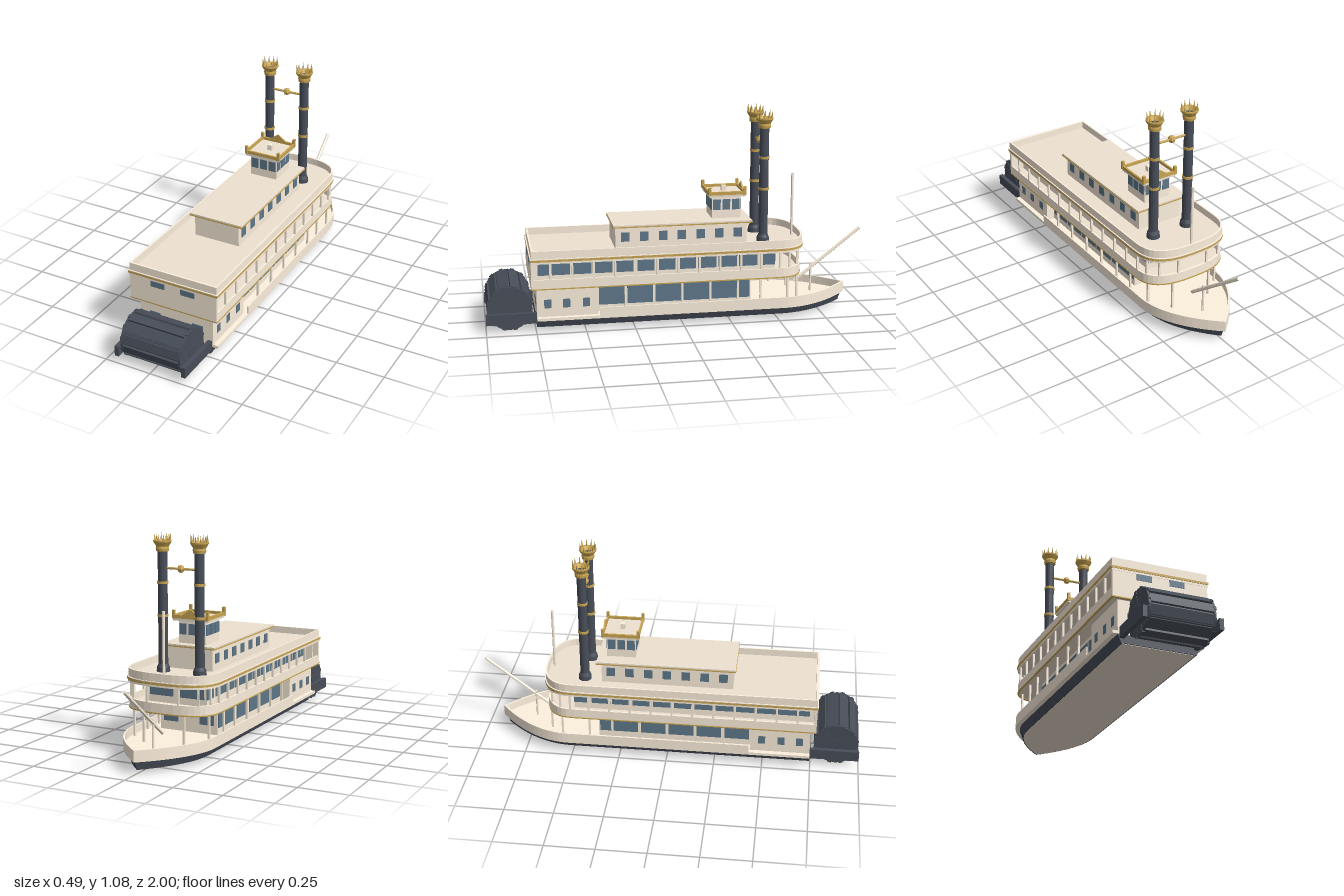
import * as THREE from 'three';

const mat = (color) => new THREE.MeshStandardMaterial({ color, flatShading: true });
const cream = mat(0xfdf0dd), deckTan = mat(0xeee2d1), dark = mat(0x484e59);
const glass = mat(0x5f788a), gold = mat(0xcaa653);

export function createModel() {
  const root = new THREE.Group();

  const add = (name, geo, m, x = 0, y = 0, z = 0, parent = root) => {
    const mesh = new THREE.Mesh(geo, m);
    mesh.name = name;
    mesh.position.set(x, y, z);
    parent.add(mesh);
    return mesh;
  };
  // box given by its limits on each axis
  const box = (name, m, x0, x1, y0, y1, z0, z1) =>
    add(name, new THREE.BoxGeometry(x1 - x0, y1 - y0, z1 - z0), m, (x0 + x1) / 2, (y0 + y1) / 2, (z0 + z1) / 2);
  // rod between two points
  const rod = (name, m, r, a, b) => {
    const p = new THREE.Vector3(...a), q = new THREE.Vector3(...b), d = q.clone().sub(p);
    const mesh = add(name, new THREE.CylinderGeometry(r, r, d.length(), 6), m);
    mesh.position.copy(p).add(q).multiplyScalar(0.5);
    mesh.quaternion.setFromUnitVectors(new THREE.Vector3(0, 1, 0), d.normalize());
  };

  // plan outlines as [x, forward] points, from the stern on the +x side round the bow
  const mirrored = (half) => [...half, ...half.slice(0, -1).reverse().map(([x, f]) => [-x, f])];
  const hullPlan = (w, aft, tip) => {
    const half = [[w, aft]];
    for (let i = 0; i <= 14; i++) {
      const t = i / 14;
      half.push([w * (1 - t * t), 0.52 + t * (tip - 0.52)]);
    }
    return mirrored(half);
  };
  const deckPlan = (w, aft, tip) => {
    const half = [[w, aft]];
    for (let i = 0; i <= 10; i++) {
      const a = (i / 10) * Math.PI / 2, e = 2 / 2.7;
      half.push([w * Math.pow(Math.max(0, Math.cos(a)), e), 0.48 + (tip - 0.48) * Math.pow(Math.sin(a), e)]);
    }
    half[half.length - 1][0] = 0;
    return mirrored(half);
  };
  const toVec = (pts) => pts.map(([x, f]) => new THREE.Vector2(x, f));
  const slab = (name, m, pts, y0, y1, hole) => {
    const shape = new THREE.Shape(toVec(pts));
    if (hole) shape.holes.push(new THREE.Path(toVec(hole)));
    const geo = new THREE.ExtrudeGeometry(shape, { depth: y1 - y0, bevelEnabled: false });
    geo.rotateX(-Math.PI / 2);
    return add(name, geo, m, 0, y0, 0);
  };

  // hull: dark flared body with a tan bottom
  const hull = slab('hull', dark, hullPlan(0.205, -0.745, 0.9), 0.022, 0.065);
  const hp = hull.geometry.attributes.position;
  for (let i = 0; i < hp.count; i++) {
    if (hp.getY(i) < 0.01) {
      hp.setX(i, hp.getX(i) * 0.92);
      if (hp.getZ(i) < 0) hp.setZ(i, hp.getZ(i) * 0.985);
    }
  }
  hull.geometry.computeVertexNormals();
  slab('hullBottom', deckTan, hullPlan(0.182, -0.74, 0.876), 0.02, 0.024);
  slab('mainDeck', cream, hullPlan(0.23, -0.745, 0.915), 0.065, 0.08);
  slab('bulwark', cream, [...hullPlan(0.23, -0.43, 0.915), ...hullPlan(0.223, -0.43, 0.9).reverse()], 0.08, 0.122);

  // lower cabins
  box('aftCabin', cream, -0.205, 0.205, 0.08, 0.24, 0.435, 0.745);
  box('lowerCabin', cream, -0.16, 0.16, 0.08, 0.24, -0.365, 0.435);

  // upper decks with parapets and gold trims
  slab('upperDeck', deckTan, deckPlan(0.237, -0.765, 0.64), 0.235, 0.25);
  slab('upperDeckParapet', cream, deckPlan(0.241, -0.77, 0.645), 0.238, 0.284, deckPlan(0.232, -0.757, 0.632));
  slab('upperDeckTrim', gold, deckPlan(0.243, -0.772, 0.648), 0.232, 0.238, deckPlan(0.235, -0.76, 0.637));
  box('upperCabin', cream, -0.165, 0.165, 0.25, 0.37, -0.49, 0.757);
  box('sternWall', cream, -0.241, 0.241, 0.238, 0.368, 0.757, 0.772);
  slab('roofDeck', deckTan, deckPlan(0.238, -0.766, 0.652), 0.367, 0.395);
  const roofInner = deckPlan(0.233, -0.76, 0.645);
  slab('roofEdge', cream, deckPlan(0.244, -0.773, 0.658), 0.366, 0.377, roofInner);
  slab('roofTrim', gold, deckPlan(0.247, -0.776, 0.661), 0.377, 0.388, roofInner);
  slab('roofTrimCap', cream, deckPlan(0.247, -0.776, 0.661), 0.388, 0.392, roofInner);
  slab('roofParapet', cream, deckPlan(0.241, -0.77, 0.655), 0.392, 0.432, roofInner);

  // windows, posts and side details, mirrored
  for (const s of [-1, 1]) {
    const pane = (name, x, y0, y1, z, w) =>
      box(name, glass, s * x - 0.002, s * x + 0.002, y0, y1, z - w / 2, z + w / 2);
    const post = (x, y0, y1, z) => box('deckPost', cream, s * x - 0.005, s * x + 0.005, y0, y1, z - 0.005, z + 0.005);

    for (const z of [0.69, 0.595, 0.495]) pane('aftCabinWindow', 0.2045, 0.125, 0.17, z, 0.036);
    for (let i = 0; i < 5; i++) pane('lowerCabinWindow', 0.161, 0.115, 0.215, 0.36 - i * 0.146, 0.134);
    pane('lowerCabinWindow', 0.161, 0.115, 0.215, -0.322, 0.072);
    for (let i = 0; i < 5; i++) post(0.215, 0.08, 0.236, 0.297 - i * 0.1455);
    for (const [x, z] of [[0.213, -0.405], [0.205, -0.55], [0.11, -0.625]]) post(x, 0.08, 0.236, z);

    for (let i = 0; i < 11; i++) {
      post(0.236, 0.28, 0.37, 0.674 - i * 0.1077);
      pane('upperCabinWindow', 0.166, 0.285, 0.368, 0.62 - i * 0.1077, i < 10 ? 0.097 : 0.07);
    }
    pane('upperCabinWindow', 0.166, 0.285, 0.368, 0.706, 0.058);
    for (const [x, z] of [[0.235, -0.5], [0.218, -0.555], [0.177, -0.605], [0.085, -0.635]]) post(x, 0.28, 0.37, z);

    for (let i = 0; i < 7; i++) pane('topCabinWindow', 0.126, 0.432, 0.48, 0.284 - i * 0.0973, 0.044);
    for (let i = -1; i <= 1; i++) pane('pilothouseWindow', 0.076, 0.565, 0.62, -0.25 + i * 0.05, 0.04);

    // windows facing bow and stern
    const facing = (name, x, w, y0, y1, z) =>
      box(name, glass, s * x - w / 2, s * x + w / 2, y0, y1, z - 0.002, z + 0.002);
    facing('sternWindow', 0.083, 0.076, 0.335, 0.366, 0.773);
    facing('aftCabinSternWindow', 0.12, 0.06, 0.125, 0.17, 0.746);
    facing('upperBowWindow', 0.085, 0.13, 0.285, 0.368, -0.491);
    facing('lowerBowWindow', 0.1, 0.08, 0.125, 0.215, -0.366);

    // paddle wheel support arm
    box('paddleArm', dark, s * 0.186 - 0.011, s * 0.186 + 0.011, 0.045, 0.1, 0.7, 1.0);
  }

  // top cabin and its roof
  box('topCabin', cream, -0.125, 0.125, 0.395, 0.51, -0.348, 0.335);
  box('topCabinRoof', deckTan, -0.147, 0.147, 0.513, 0.521, -0.372, 0.347);
  box('topCabinRoofTrim', gold, -0.149, 0.149, 0.508, 0.514, -0.374, 0.349);

  // pilothouse
  box('pilothouse', cream, -0.075, 0.075, 0.52, 0.637, -0.325, -0.175);
  for (const z of [-0.326, -0.174])
    for (let i = -1; i <= 1; i++) box('pilothouseWindow', glass, i * 0.051 - 0.02, i * 0.051 + 0.02, 0.565, 0.62, z - 0.002, z + 0.002);
  box('pilothouseRoof', deckTan, -0.096, 0.096, 0.635, 0.65, -0.345, -0.157);
  for (const s of [-1, 1]) {
    box('roofRail', gold, s * 0.094 - 0.005, s * 0.094 + 0.005, 0.647, 0.664, -0.347, -0.155);
    const z = -0.251 + s * 0.092;
    box('roofRail', gold, -0.098, 0.098, 0.647, 0.664, z - 0.005, z + 0.005);
    for (const t of [-1, 1])
      box('roofRailPost', gold, t * 0.094 - 0.007, t * 0.094 + 0.007, 0.645, 0.689, z - 0.007, z + 0.007);
  }
  box('roofVent', cream, -0.012, 0.012, 0.65, 0.678, -0.262, -0.238);
  const gable = new THREE.Shape(toVec([[-0.048, 0], [0.048, 0], [0, 0.034]]));
  add('roofPediment', new THREE.ExtrudeGeometry(gable, { depth: 0.008, bevelEnabled: false }), gold, 0, 0.662, -0.347);

  // smokestacks with gold bands and spiked crowns
  const lathe = (pts) => new THREE.LatheGeometry(toVec(pts), 16);
  for (const s of [-1, 1]) {
    const stack = new THREE.Group();
    stack.name = 'smokestack';
    stack.position.set(s * 0.101, 0, -0.44);
    root.add(stack);
    add('stackPipe', lathe([[0, 0.395], [0.034, 0.395], [0.032, 0.418], [0.024, 0.435], [0.024, 1.025], [0, 1.025]]), dark, 0, 0, 0, stack);
    for (const y of [0.676, 0.839])
      add('stackBand', new THREE.CylinderGeometry(0.0275, 0.0275, 0.013, 16), gold, 0, y, 0, stack);
    add('stackCrown', lathe([[0.024, 0.99], [0.031, 0.992], [0.033, 1.005], [0.031, 1.016], [0.034, 1.02], [0.045, 1.038], [0.045, 1.045], [0.036, 1.045], [0.022, 1.022]]), gold, 0, 0, 0, stack);
    for (let i = 0; i < 10; i++) {
      const a = (i + 0.5) * Math.PI / 5;
      const spike = add('crownSpike', new THREE.ConeGeometry(0.0055, 0.036, 4), gold, 0.04 * Math.cos(a), 1.062, 0.04 * Math.sin(a), stack);
      spike.rotation.set(0.12 * Math.sin(a), 0, -0.12 * Math.cos(a));
    }
  }
  rod('stackBrace', gold, 0.006, [-0.08, 0.91, -0.44], [0.08, 0.91, -0.44]);
  add('braceKnob', new THREE.SphereGeometry(0.02, 6, 4), gold, 0, 0.91, -0.44);

  // jackstaff, boom and its prop
  rod('jackstaff', cream, 0.007, [0, 0.39, -0.62], [0, 0.73, -0.62]);
  rod('boom', cream, 0.009, [0, 0.14, -0.64], [0, 0.417, -0.995]);
  rod('boomProp', cream, 0.006, [0, 0.08, -0.73], [0, 0.232, -0.73]);

  // stern paddle wheel: planked drum between rim discs, with a raised board on each facet
  const wheel = new THREE.Group();
  wheel.name = 'paddleWheel';
  wheel.position.set(0, 0.12, 0.88);
  root.add(wheel);
  const acrossX = (r, len, sides) => new THREE.CylinderGeometry(r, r, len, sides).rotateZ(Math.PI / 2);
  add('wheelHub', acrossX(0.03, 0.336, 12), dark, 0, 0, 0, wheel);
  add('wheelDrum', acrossX(0.106, 0.31, 12), dark, 0, 0, 0, wheel);
  for (const s of [-1, 1]) add('wheelRim', acrossX(0.113, 0.01, 24), dark, s * 0.16, 0, 0, wheel);
  for (let i = 0; i < 12; i++) {
    const blade = new THREE.Group();
    blade.name = 'paddleBlade';
    blade.rotation.x = (i + 0.5) * Math.PI / 6;
    wheel.add(blade);
    add('bladeBoard', new THREE.BoxGeometry(0.31, 0.012, 0.044), dark, 0, 0.108, 0, blade);
    for (const s of [-1, 1]) add('bladeSpoke', new THREE.BoxGeometry(0.012, 0.1, 0.02), dark, s * 0.16, 0.067, 0, blade);
  }

  return root;
}
